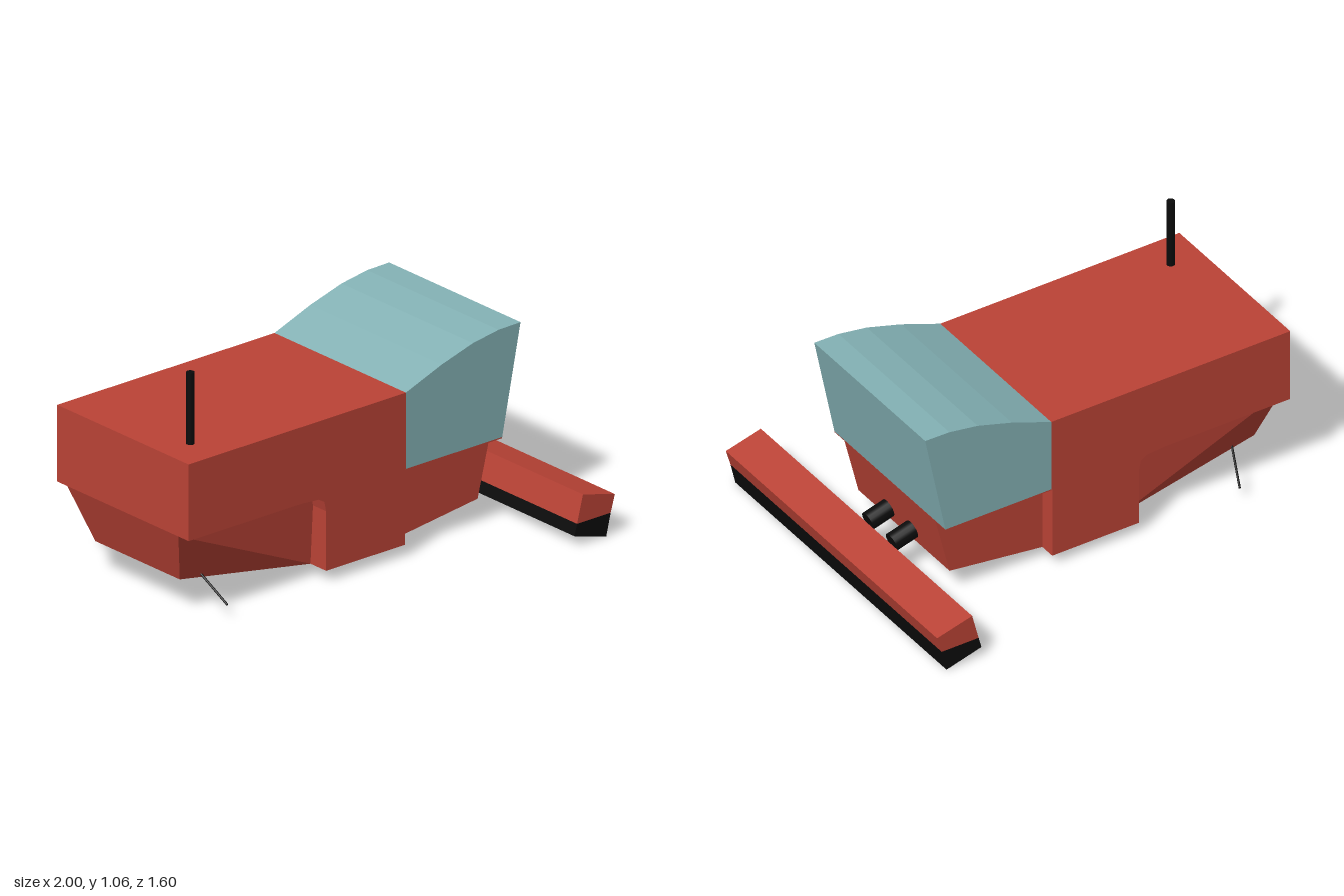
import * as THREE from 'three';
import { ConvexGeometry } from 'three/addons/geometries/ConvexGeometry.js';

const paint = (name, color) => {
  const m = new THREE.MeshStandardMaterial({ color });
  m.name = name;
  return m;
};

export function createModel() {
  const model = new THREE.Group();
  model.name = 'harvester';
  const red = paint('red paint', 0xbb4336);
  const glass = paint('blue glass', 0x84b2b5);
  const black = paint('black', 0x0b0b0b);

  const add = (name, geometry, material) => {
    const mesh = new THREE.Mesh(geometry, material);
    mesh.name = name;
    model.add(mesh);
    return mesh;
  };

  // side profile in x, y swept across the width
  const slab = (name, points, halfWidth, material) => {
    const shape = new THREE.Shape(points.map(([x, y]) => new THREE.Vector2(x, y)));
    const g = new THREE.ExtrudeGeometry(shape, { depth: halfWidth * 2, bevelEnabled: false });
    g.translate(0, 0, -halfWidth);
    return add(name, g, material);
  };

  // round bar between two points
  const rod = (name, from, to, radius, sides) => {
    const a = new THREE.Vector3(...from), b = new THREE.Vector3(...to);
    const dir = b.clone().sub(a);
    const mesh = add(name, new THREE.CylinderGeometry(radius, radius, dir.length(), sides), black);
    mesh.position.copy(a).add(b).multiplyScalar(0.5);
    mesh.quaternion.setFromUnitVectors(new THREE.Vector3(0, 1, 0), dir.normalize());
    return mesh;
  };

  // upper hull and cab
  slab('upperBody', [[-1, 0.39], [0.185, 0.39], [0.185, 0.735], [-1, 0.735]], 0.42, red);
  slab('cab', [[0.185, 0.392], [0.71, 0.392], [0.81, 0.882], [0.69, 0.88], [0.55, 0.858],
    [0.38, 0.808], [0.185, 0.735]], 0.42, glass);
  slab('cabFloor', [[0.185, 0.387], [0.709, 0.387], [0.71, 0.392], [0.185, 0.392]], 0.42, red);

  // full-width belly with rounded rear wheel arch corner
  slab('belly', [[-0.25, 0.052], [0.18, 0.052], [0.18, 0.39], [-0.38, 0.39], [-0.29, 0.383],
    [-0.26, 0.365], [-0.25, 0.32]], 0.42, red);

  // narrow nose below the cab
  slab('nose', [[0.18, 0.052], [0.64, 0.11], [0.71, 0.39], [0.18, 0.39]], 0.345, red);

  // tapered tail between the rear wheel recesses
  const tail = [];
  for (const s of [-1, 1]) {
    for (const [x, y, z] of [[-1, 0.39, 0.355], [-0.92, 0.148, 0.27], [-0.25, 0.052, 0.32], [-0.25, 0.39, 0.34]]) {
      tail.push(new THREE.Vector3(x, y, z * s));
    }
  }
  add('tail', new ConvexGeometry(tail), red);

  // tilted header bar with black lower half
  slab('headerTop', [[0.794, 0.1], [0.977, 0.1], [1, 0.178], [0.826, 0.224]], 0.8, red);
  slab('headerBase', [[0.78, 0.048], [0.953, 0], [0.977, 0.1], [0.794, 0.1]], 0.8, black);

  // header couplings, rear axle stubs and exhaust
  for (const z of [-0.09, 0.09]) rod('coupling', [0.62, 0.19, z], [0.76, 0.15, z], 0.041, 16);
  rod('leftAxleStub', [-0.815, 0.16, 0.26], [-0.81, 0.06, 0.445], 0.005, 8);
  rod('rightAxleStub', [-0.81, 0.16, -0.26], [-0.73, 0.06, -0.45], 0.005, 8);
  rod('exhaust', [-0.848, 0.7, 0.253], [-0.848, 1.057, 0.253], 0.018, 16);

  return model;
}
